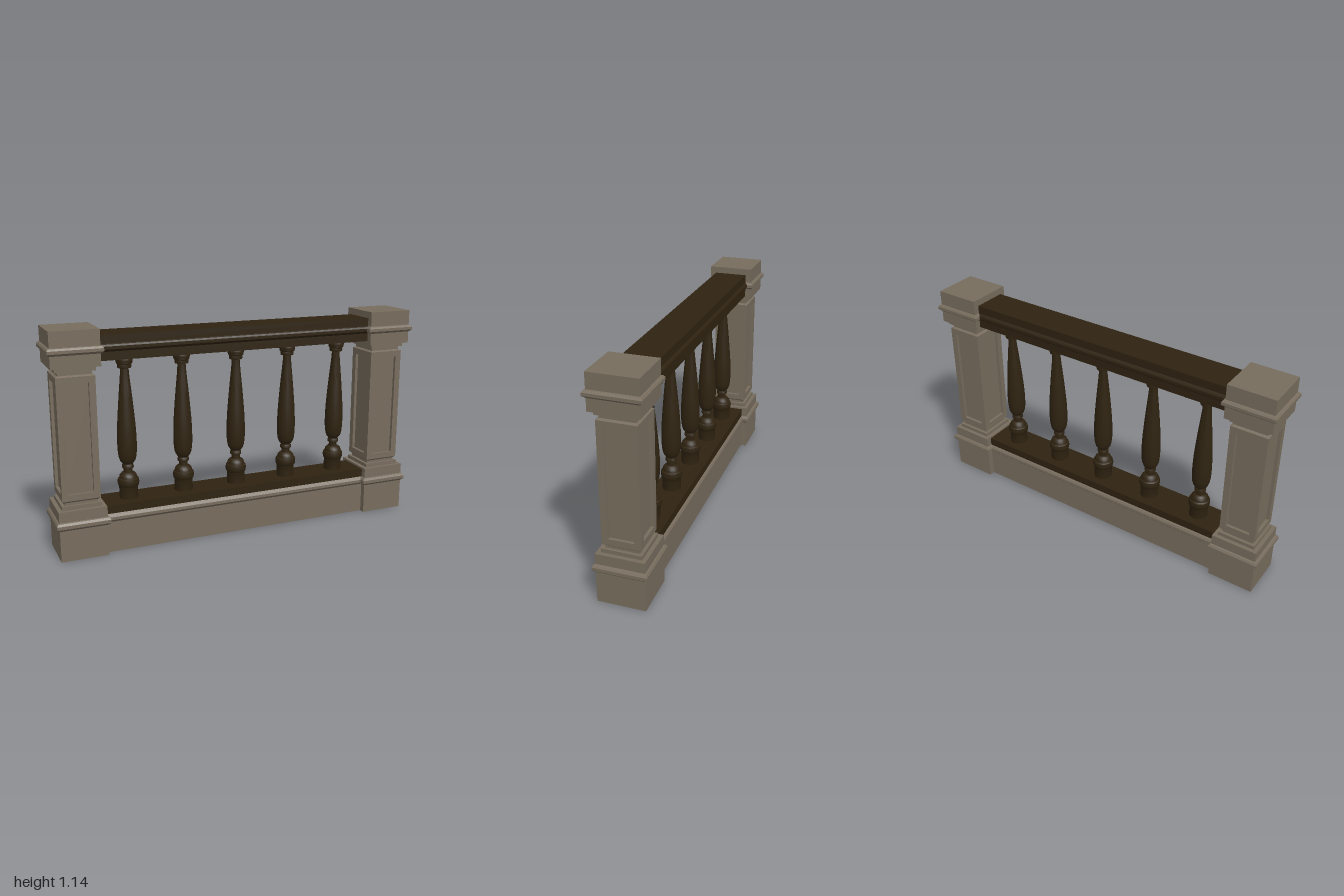
import * as THREE from 'three';
import { toCreasedNormals } from 'three/addons/utils/BufferGeometryUtils.js';

const stone = new THREE.MeshStandardMaterial({ color: 0x776c5d });
stone.name = 'stone';
const wood = new THREE.MeshStandardMaterial({ color: 0x2f2311 });
wood.name = 'dark wood';

function mesh(name, geometry, material) {
  const m = new THREE.Mesh(geometry, material);
  m.name = name;
  return m;
}

// Square moulded block: profile of [half width, y] from bottom to top, capped.
function squareLoft(profile) {
  const pts = profile.map(([h, y]) => new THREE.Vector2(h * Math.SQRT2, y));
  pts.unshift(new THREE.Vector2(0, pts[0].y));
  pts.push(new THREE.Vector2(0, pts[pts.length - 1].y));
  const g = new THREE.LatheGeometry(pts, 4, Math.PI / 4).toNonIndexed();
  g.computeVertexNormals();
  return g;
}

// Long moulding along x: one side of the [half depth, y] section, mirrored.
function beam(side, length) {
  const mirrored = side.map(([z, y]) => [-z, y]).reverse();
  const shape = new THREE.Shape([...side, ...mirrored].map(([z, y]) => new THREE.Vector2(z, y)));
  const g = new THREE.ExtrudeGeometry(shape, { depth: length, bevelEnabled: false });
  g.translate(0, 0, -length / 2);
  g.rotateY(Math.PI / 2);
  return g;
}

const SHAFT = { half: 0.096, bottom: 0.303, top: 0.92, recess: 0.016 };

// Flat frame around the sunken panel on one face of the shaft.
function panelFrame() {
  const { half, bottom, top, recess } = SHAFT;
  const rect = (Type, w, y0, y1) => new Type([
    new THREE.Vector2(-w, y0), new THREE.Vector2(w, y0),
    new THREE.Vector2(w, y1), new THREE.Vector2(-w, y1)]);
  const shape = rect(THREE.Shape, half, bottom, top);
  shape.holes.push(rect(THREE.Path, 0.063, 0.335, 0.888));
  const g = new THREE.ExtrudeGeometry(shape, { depth: recess, bevelEnabled: false });
  return g.translate(0, 0, half - recess);
}

function post() {
  const group = new THREE.Group();
  group.add(mesh('postBase', squareLoft([
    [0.121, 0], [0.121, 0.162], [0.135, 0.175], [0.135, 0.192], [0.128, 0.203], [0.121, 0.206],
    [0.121, 0.26], [0.1, 0.26], [0.1, 0.28], [0.084, 0.28], [0.084, 0.293], [0.096, 0.303]]), stone));
  const core = new THREE.BoxGeometry(0.16, SHAFT.top - SHAFT.bottom, 0.16);
  core.translate(0, (SHAFT.top + SHAFT.bottom) / 2, 0);
  group.add(mesh('postPanels', core, stone));
  const frame = panelFrame();
  for (let i = 0; i < 4; i++) {
    const f = mesh('panelFrame', frame, stone);
    f.rotation.y = i * Math.PI / 2;
    group.add(f);
  }
  group.add(mesh('postCap', squareLoft([
    [0.096, 0.92], [0.084, 0.927], [0.084, 0.945], [0.1, 0.945], [0.1, 0.966], [0.121, 0.966],
    [0.121, 1.028], [0.135, 1.04], [0.135, 1.055], [0.128, 1.064], [0.121, 1.067], [0.121, 1.145]]), stone));
  return group;
}

// Turned baluster: foot, ring, neck, vase body and rounded head.
function balusterGeometry() {
  const body = new THREE.SplineCurve([
    [0.026, 0.432], [0.042, 0.455], [0.049, 0.51], [0.048, 0.6],
    [0.041, 0.7], [0.032, 0.8], [0.024, 0.88], [0.021, 0.925]
  ].map(p => new THREE.Vector2(...p))).getPoints(18);
  const pts = (list) => list.map(p => new THREE.Vector2(...p));
  const profile = [
    ...pts([[0.048, 0.25], [0.048, 0.312], [0.053, 0.318], [0.056, 0.335], [0.053, 0.352], [0.046, 0.356],
      [0.043, 0.372], [0.034, 0.382], [0.023, 0.386], [0.022, 0.405], [0.03, 0.41], [0.03, 0.424], [0.026, 0.43]]),
    ...body,
    ...pts([[0.034, 0.928], [0.036, 0.938], [0.034, 0.946], [0.04, 0.95], [0.043, 0.965], [0.042, 0.978], [0.036, 0.988]])
  ];
  return toCreasedNormals(new THREE.LatheGeometry(profile, 20), 0.7);
}

export function createModel() {
  const model = new THREE.Group();
  model.name = 'balustrade';

  // End posts
  for (const side of [-1, 1]) {
    const p = post();
    p.name = side > 0 ? 'leftPost' : 'rightPost';
    p.position.x = side * 0.865;
    model.add(p);
  }

  // Stone plinth with moulding, wooden sill and handrail
  model.add(mesh('plinth', beam([
    [0.09, 0], [0.09, 0.162], [0.102, 0.175], [0.102, 0.19], [0.096, 0.2], [0.09, 0.206]], 1.5), stone));
  model.add(mesh('sill', beam([[0.09, 0.206], [0.09, 0.25]], 1.5), wood));
  model.add(mesh('handrail', beam([
    [0.09, 0.985], [0.09, 1.028], [0.102, 1.04], [0.102, 1.055], [0.096, 1.063], [0.09, 1.067],
    [0.09, 1.11]], 1.5), wood));

  // Row of balusters
  const turned = balusterGeometry();
  for (let i = -2; i <= 2; i++) {
    const b = mesh('baluster', turned, wood);
    b.position.x = i * 0.3;
    model.add(b);
  }
  return model;
}
